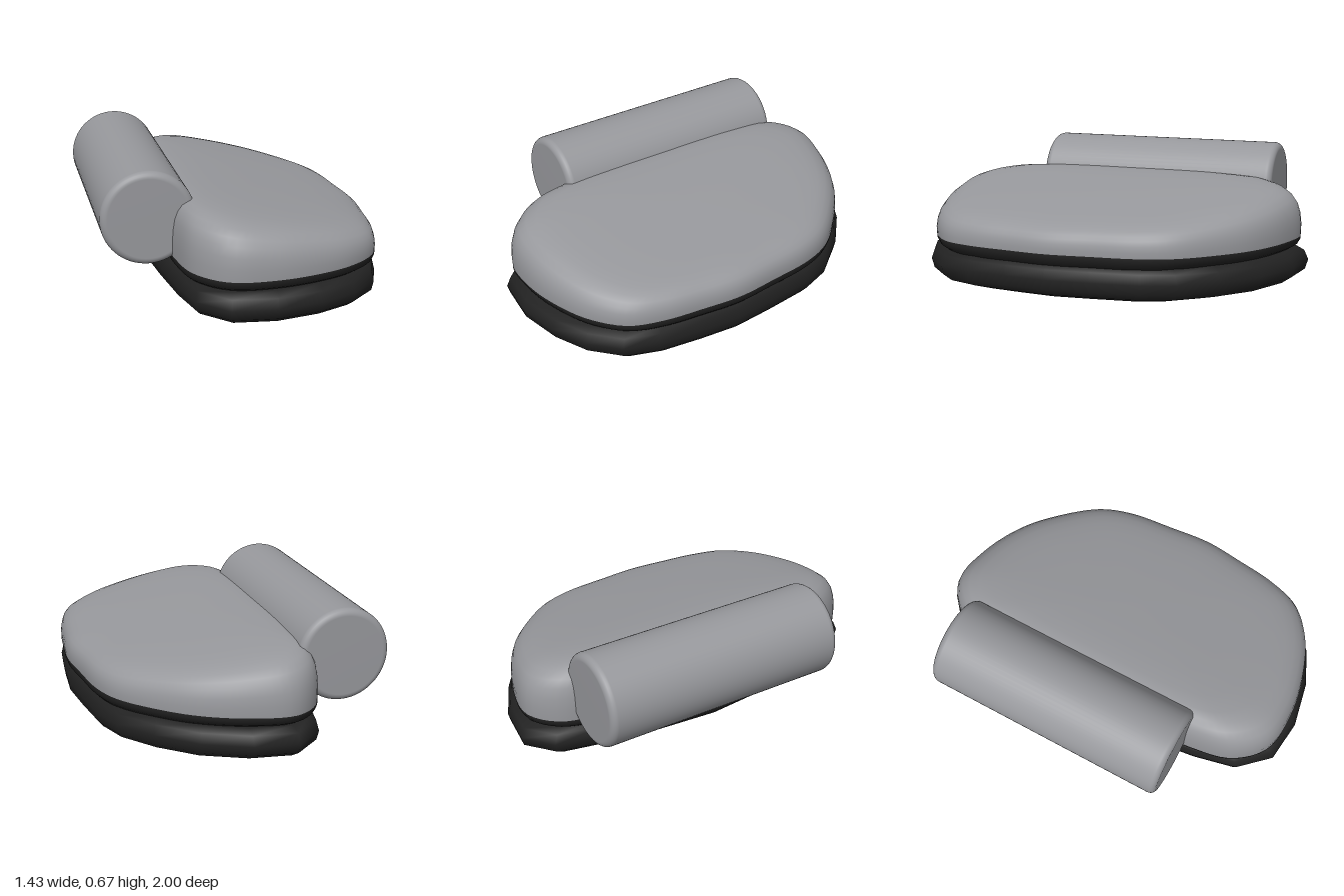
import * as THREE from 'three';

const CENTRE_X = 0.165;

// Half-moon plan outline as [x, z], running from the back round the bulging left side
const OUTLINE = [
  [-0.17, -1.0], [0.05, -0.97], [0.28, -0.86], [0.46, -0.70], [0.60, -0.52], [0.66, -0.35],
  [0.69, -0.10], [0.71, 0.13], [0.69, 0.35], [0.66, 0.57], [0.60, 0.74], [0.46, 0.87],
  [0.28, 0.95], [0.05, 0.995], [-0.17, 0.97], [-0.31, 0.82], [-0.36, 0.6], [-0.40, 0.3],
  [-0.43, 0], [-0.40, -0.4], [-0.36, -0.65], [-0.31, -0.88],
];

// Stacks scaled copies of an outline; each ring is [scale, level]
function stackRings(outline, rings, heightAt) {
  const n = outline.length, pos = [], index = [];
  rings.forEach(([s, level], j) => {
    outline.forEach(([x, z], i) => {
      const px = CENTRE_X + (x - CENTRE_X) * s;
      pos.push(px, heightAt(px, level), z * s);
      if (j === rings.length - 1) return;
      const a = j * n + i, b = j * n + (i + 1) % n;
      index.push(a, a + n, b, b, a + n, b + n);
    });
  });
  const g = new THREE.BufferGeometry();
  g.setAttribute('position', new THREE.Float32BufferAttribute(pos, 3));
  g.setIndex(index);
  g.computeVertexNormals();
  return g;
}

export function createModel() {
  const group = new THREE.Group();
  const grey = new THREE.MeshStandardMaterial({ name: 'grey', color: 0x97989c });
  const black = new THREE.MeshStandardMaterial({ name: 'black', color: 0x222222 });
  const add = (name, geometry, material) => {
    const mesh = new THREE.Mesh(geometry, material);
    mesh.name = name;
    group.add(mesh);
    return mesh;
  };
  const flat = (x, y) => y;

  // Faceted dark base pad
  add('basePad', stackRings(OUTLINE, [
    [0, 0.003], [0.6, 0.003], [0.83, 0.008], [0.94, 0.03], [0.985, 0.06],
    [1, 0.11], [0.98, 0.16], [0.94, 0.185], [0.85, 0.195], [0, 0.195],
  ], flat), black);

  // Smooth, slightly smaller outline for the body
  const curve = new THREE.CatmullRomCurve3(
    OUTLINE.map(([x, z]) => new THREE.Vector3(Math.max(x, -0.375), 0, z * 0.957)), true);
  const smooth = curve.getSpacedPoints(120).slice(0, 120).map(p => [p.x, p.z]);

  // Dark band under the body
  add('lowerBand', stackRings(smooth, [
    [0, 0.165], [0.88, 0.165], [0.95, 0.18], [0.985, 0.2], [1, 0.225], [1, 0.24],
  ], flat), black);

  // Padded body whose top slopes down towards the left side
  const slope = (x, f) => 0.24 + f * (0.535 - 0.185 * (x + 0.17) - 0.24);
  add('body', stackRings(smooth, [
    [1, 0], [1.002, 0.2], [0.995, 0.4], [0.98, 0.57], [0.955, 0.7], [0.915, 0.81],
    [0.86, 0.88], [0.79, 0.925], [0.68, 0.96], [0.5, 0.985], [0.25, 0.997], [0, 1],
  ], slope), grey);

  // Roll along the right side, with softened rims
  const R = 0.236, H = 0.65, B = 0.035;
  const profile = [new THREE.Vector2(0, -H)];
  for (const end of [-1, 1]) {
    for (let k = 0; k <= 6; k++) {
      const a = (end < 0 ? k - 6 : k) / 6 * Math.PI / 2;
      profile.push(new THREE.Vector2(R - B + B * Math.cos(a), end * (H - B) + B * Math.sin(a)));
    }
  }
  profile.push(new THREE.Vector2(0, H));
  const roll = add('sideRoll', new THREE.LatheGeometry(profile, 64), grey);
  roll.rotation.x = Math.PI / 2;
  roll.position.set(-0.48, 0.438, -0.122);

  return group;
}
